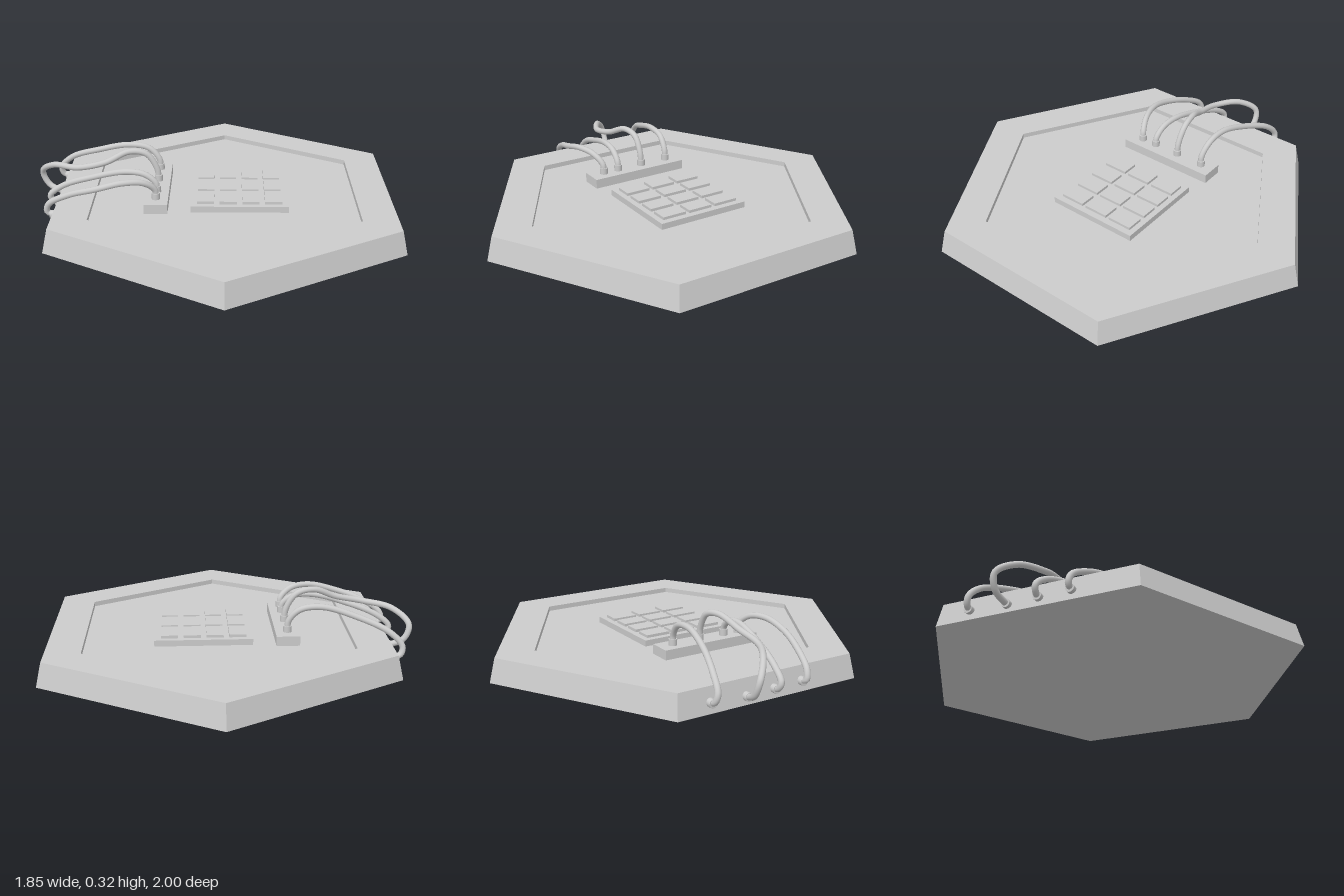
import * as THREE from 'three';

const flat = new THREE.MeshStandardMaterial({ color: 0xcccccc, flatShading: true });
const smooth = new THREE.MeshStandardMaterial({ color: 0xcccccc });
const CX = 0.063; // centre of the hexagonal base
const FLOOR = 0.095; // height of the recessed floor

function add(parent, name, geometry, material, x = 0, y = 0, z = 0) {
  const mesh = new THREE.Mesh(geometry, material);
  mesh.name = name;
  mesh.position.set(x, y, z);
  parent.add(mesh);
  return mesh;
}

// Box given by its bottom and top heights
function slab(parent, name, w, d, bottom, top, x, z) {
  return add(parent, name, new THREE.BoxGeometry(w, top - bottom, d), flat, x, (bottom + top) / 2, z);
}

export function createModel() {
  const model = new THREE.Group();
  model.name = 'hexagonalKeypadPanel';

  // Tapered hexagonal base with a shallow recess
  const profile = [[0, 0], [1, 0], [0.97, 0.12], [0.766, 0.12], [0.766, FLOOR], [0, FLOOR]]
    .map(([r, y]) => new THREE.Vector2(r, y));
  add(model, 'hexagonBase', new THREE.LatheGeometry(profile, 6), flat, CX);

  // Keypad: backing plate and a 4 x 3 grid of keys
  const keypad = new THREE.Group();
  keypad.name = 'keypad';
  model.add(keypad);
  slab(keypad, 'keypadPlate', 0.488, 0.488, FLOOR - 0.005, 0.126, 0.138, -0.003);
  for (let col = 0; col < 4; col++) {
    for (let row = 0; row < 3; row++) {
      slab(keypad, 'key', 0.085, 0.13, 0.12, 0.14, -0.032 + col * 0.113, (row - 1) * 0.15 - 0.003);
    }
  }

  // Connector block
  slab(model, 'connectorBlock', 0.117, 0.535, FLOOR - 0.005, 0.144, -0.278, -0.003);

  // Wires: path from the block over the rim to the side wall
  const wires = [
    [[-0.28, 0.15, -0.197], [-0.285, 0.2, -0.197], [-0.34, 0.26, -0.205], [-0.45, 0.275, -0.213], [-0.61, 0.235, -0.245],
      [-0.77, 0.17, -0.298], [-0.835, 0.1, -0.317], [-0.825, 0.06, -0.325], [-0.79, 0.05, -0.327]],
    [[-0.28, 0.15, -0.043], [-0.288, 0.21, -0.043], [-0.34, 0.29, -0.043], [-0.43, 0.308, -0.03], [-0.55, 0.26, 0],
      [-0.69, 0.232, 0.002], [-0.83, 0.215, -0.075], [-0.905, 0.15, -0.145], [-0.88, 0.075, -0.152], [-0.825, 0.045, -0.138], [-0.79, 0.04, -0.135]],
    [[-0.28, 0.15, 0.1], [-0.285, 0.19, 0.1], [-0.34, 0.235, 0.095], [-0.44, 0.245, 0.085], [-0.61, 0.205, 0.063],
      [-0.77, 0.145, 0.035], [-0.84, 0.085, 0.024], [-0.825, 0.053, 0.02], [-0.79, 0.045, 0.02]],
    [[-0.28, 0.15, 0.187], [-0.285, 0.195, 0.19], [-0.34, 0.24, 0.215], [-0.44, 0.25, 0.242], [-0.57, 0.22, 0.248],
      [-0.71, 0.175, 0.217], [-0.82, 0.11, 0.186], [-0.83, 0.065, 0.178], [-0.79, 0.05, 0.178]],
  ];
  for (const points of wires) {
    const wire = new THREE.Group();
    wire.name = 'wire';
    model.add(wire);
    const path = new THREE.CatmullRomCurve3(points.map((p) => new THREE.Vector3(...p)));
    add(wire, 'cable', new THREE.TubeGeometry(path, 64, 0.0155, 12), smooth);

    // Plug on the block and plug on the wall
    const plug = new THREE.CylinderGeometry(0.021, 0.021, 0.034, 16);
    const [x, , z] = points[0];
    add(wire, 'blockPlug', plug, smooth, x, 0.159, z);
    const [, ey, ez] = points[points.length - 1];
    add(wire, 'wallPlug', plug, smooth, -0.8, ey, ez).rotation.z = Math.PI / 2;
  }

  return model;
}
